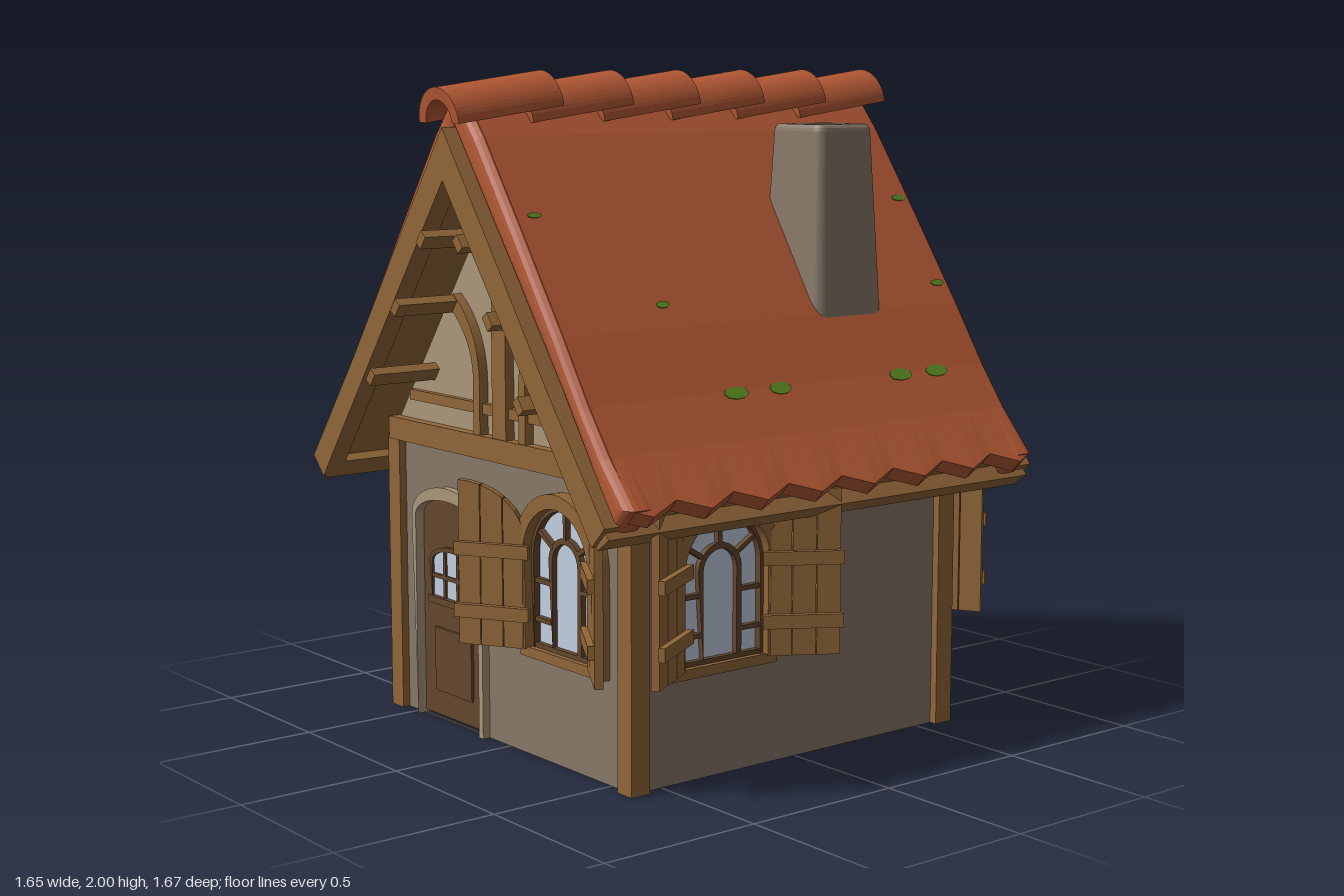
import * as THREE from 'three';

const material = (name, color) => Object.assign(new THREE.MeshStandardMaterial({ color }), { name });
const stone = material('greyStone', 0x877868);
const plaster = material('tanPlaster', 0xaa977a);
plaster.side = THREE.DoubleSide;
const wood = material('timber', 0x926739);
const dark = material('darkTimber', 0x64462d);
const glass = material('paleGlass', 0xc2d0e2);
const clay = material('redClay', 0xb25834);
const moss = material('moss', 0x5a8a22);

function add(parent, name, geometry, mat, x = 0, y = 0, z = 0) {
  const mesh = new THREE.Mesh(geometry, mat);
  mesh.name = name;
  mesh.position.set(x, y, z);
  parent.add(mesh);
  return mesh;
}
function group(parent, name) {
  const g = new THREE.Group();
  g.name = name;
  parent.add(g);
  return g;
}
const box = (w, h, d) => new THREE.BoxGeometry(w, h, d);
const extrude = (shape, depth, extra = {}) =>
  new THREE.ExtrudeGeometry(shape, { depth, bevelEnabled: false, curveSegments: 14, ...extra });
const polygon = pts => new THREE.Shape(pts.map(p => new THREE.Vector2(...p)));

// Opening with an elliptical top; Kind is Shape or Path (for holes)
function arch(cx, w, y0, ys, rise, Kind = THREE.Shape) {
  const s = new Kind();
  s.moveTo(cx - w, y0);
  s.lineTo(cx + w, y0);
  s.absellipse(cx, ys, w, rise, 0, Math.PI, false, 0);
  return s;
}
// Arched band, open at the bottom
function archBand(wo, ro, wi, ri, y0, ys) {
  const s = new THREE.Shape();
  s.moveTo(-wo, y0);
  s.absellipse(0, ys, wo, ro, Math.PI, 0, true, 0);
  s.lineTo(wo, y0);
  s.lineTo(wi, y0);
  s.absellipse(0, ys, wi, ri, 0, Math.PI, false, 0);
  s.lineTo(-wi, y0);
  return s;
}
// Closed chevron from right-hand outer and inner curves, apex first
function chevron(outer, inner) {
  const flip = pts => pts.slice(1).map(([x, y]) => [-x, y]);
  return polygon([...flip(outer).reverse(), ...outer, ...inner.slice(1).reverse(), inner[0], ...flip(inner)]);
}

// Plank shutter hinged at the window side; s is the side it swings to
function buildShutter(parent, s) {
  const shutter = group(parent, 'shutter');
  shutter.position.set(s * 0.155, 0, 0.615);
  shutter.rotation.y = -s * 0.55;
  const top = u => 0.62 + 0.2 * Math.sqrt(1 - (1 - u / 0.225) ** 2);
  for (let i = 0; i < 3; i++) {
    const a = 0.012 + i * 0.071, b = a + 0.068, m = (a + b) / 2;
    const pts = [[a, 0.332], [b, 0.332], [b, top(b)], [m, top(m)], [a, top(a)]].map(([u, v]) => [s * u, v]);
    add(shutter, 'shutterPlank', extrude(polygon(pts), 0.025), wood);
  }
  for (const y of [0.435, 0.62]) add(shutter, 'shutterBatten', box(0.235, 0.04, 0.02), wood, s * 0.112, y, 0.034);
}

function buildWindow(parent, x) {
  const win = group(parent, 'window');
  win.position.x = x;
  add(win, 'windowGlass', extrude(arch(0, 0.16, 0.335, 0.61, 0.16), 0.008), glass, 0, 0, 0.585);
  add(win, 'windowFrame', extrude(archBand(0.2, 0.2, 0.157, 0.157, 0.335, 0.61), 0.085), wood, 0, 0, 0.562);
  add(win, 'windowSill', box(0.4, 0.03, 0.062), wood, 0, 0.32, 0.596);
  // Glazing bars
  add(win, 'outerBar', extrude(archBand(0.16, 0.16, 0.146, 0.146, 0.335, 0.61), 0.03), dark, 0, 0, 0.585);
  add(win, 'innerArchBar', extrude(archBand(0.079, 0.079, 0.061, 0.061, 0.335, 0.6), 0.025), dark, 0, 0, 0.585);
  add(win, 'bottomBar', box(0.31, 0.014, 0.025), dark, 0, 0.342, 0.598);
  for (const s of [-1, 1]) for (const y of [0.42, 0.535]) {
    add(win, 'crossBar', box(0.09, 0.014, 0.025), dark, s * 0.112, y, 0.598);
  }
  for (const a of [0.55, Math.PI / 2, Math.PI - 0.55]) {
    add(win, 'rayBar', box(0.085, 0.014, 0.025), dark, Math.cos(a) * 0.112, 0.605 + Math.sin(a) * 0.112, 0.598).rotation.z = a;
  }
  for (const s of [-1, 1]) buildShutter(win, s);
}

function buildDoor(parent) {
  const door = group(parent, 'door');
  door.position.x = -0.3;
  add(door, 'doorFrame', extrude(archBand(0.192, 0.105, 0.17, 0.065, 0, 0.635), 0.08), plaster, 0, 0, 0.545);
  add(door, 'doorLeaf', extrude(arch(0, 0.17, 0.01, 0.635, 0.067), 0.035), dark, 0, 0, 0.56);
  add(door, 'doorPanel', box(0.2, 0.2, 0.012), dark, 0, 0.19, 0.598);
  // Panes on both faces, with the trim and bars running through
  for (const z of [0.552, 0.594]) add(door, 'doorGlass', extrude(arch(0, 0.105, 0.385, 0.5, 0.04), 0.008), glass, 0, 0, z);
  add(door, 'doorGlassTrim', extrude(archBand(0.117, 0.052, 0.103, 0.038, 0.38, 0.5), 0.064), dark, 0, 0, 0.546);
  add(door, 'doorGlassSill', box(0.234, 0.022, 0.07), dark, 0, 0.38, 0.583);
  add(door, 'doorGlassBar', box(0.21, 0.013, 0.062), dark, 0, 0.455, 0.578);
  for (const s of [-1, 1]) add(door, 'doorGlassBar', box(0.013, 0.145, 0.062), dark, s * 0.036, 0.46, 0.578);
}

// One hollow wall facing local +z: stone skin, plaster lining, arched openings
function buildWall(parent, winX, hasDoor) {
  const w = 0.595;
  const shape = polygon([[-w, 0], [w, 0], [w, 0.88], [-w, 0.88]]);
  shape.holes.push(arch(winX, 0.158, 0.335, 0.61, 0.158, THREE.Path));
  if (hasDoor) shape.holes.push(arch(-0.3, 0.175, 0.004, 0.635, 0.08, THREE.Path));
  const sheet = new THREE.ShapeGeometry(shape, 14);
  add(parent, 'outerWall', sheet, stone, 0, 0, 0.6);
  add(parent, 'outerWallBack', sheet, plaster, 0, 0, 0.596);
  add(parent, 'innerWall', sheet, plaster, 0, 0, 0.56);
}

// Timbered gable facing local +z
function buildGable(parent) {
  const gable = group(parent, 'gable');
  add(gable, 'gableInfill', extrude(polygon([[-0.63, 0.87], [0.63, 0.87], [0, 1.73]]), 0.04), plaster, 0, 0, 0.56);
  add(gable, 'tieBeam', box(1.2, 0.07, 0.07), wood, 0, 0.895, 0.6);
  add(gable, 'upperRail', box(1.0, 0.032, 0.03), wood, 0, 1.008, 0.605);
  add(gable, 'kingPost', box(0.07, 0.78, 0.05), wood, 0, 1.3, 0.605);
  for (const s of [-1, 1]) {
    const brace = new THREE.Shape();
    brace.moveTo(s * 0.1, 0.92);
    brace.lineTo(s * 0.1, 1.1);
    brace.quadraticCurveTo(s * 0.11, 1.25, s * 0.235, 1.34);
    brace.lineTo(s * 0.265, 1.305);
    brace.quadraticCurveTo(s * 0.14, 1.22, s * 0.133, 1.1);
    brace.lineTo(s * 0.133, 0.92);
    add(gable, 'curvedBrace', extrude(brace, 0.04), wood, 0, 0, 0.59);
    for (const [x, y] of [[0.095, 1.517], [0.24, 1.31], [0.385, 1.09]]) {
      add(gable, 'purlinPeg', box(0.045, 0.03, 0.24), wood, s * x, y, 0.71).rotation.z = -s * 0.93;
    }
  }
  add(gable, 'bargeBoard', extrude(chevron(
    [[0, 1.84], [0.3, 1.425], [0.5, 1.145], [0.757, 0.805]],
    [[0, 1.69], [0.3, 1.285], [0.5, 1.015], [0.7, 0.745]]), 0.06), wood, 0, 0, 0.755);
}

const roofLine = [[0, 1.935], [0.05, 1.9], [0.12, 1.815], [0.3, 1.56], [0.49, 1.285], [0.608, 1.105], [0.7, 0.98], [0.817, 0.84]];

function buildRoof(parent) {
  const roof = group(parent, 'roof');
  // Thin tile sheet; eaves pulled into a zigzag
  const tiles = extrude(chevron(roofLine,
    [[0, 1.85], [0.3, 1.475], [0.49, 1.205], [0.6, 1.035], [0.69, 0.915], [0.785, 0.805]]), 1.5, { steps: 30 });
  tiles.translate(0, 0, -0.75);
  const p = tiles.attributes.position;
  for (let i = 0; i < p.count; i++) {
    const x = p.getX(i), y = p.getY(i), z = p.getZ(i);
    if (Math.abs(x) < 0.72 || y > 0.9) continue;
    const t = Math.abs(((z + 1.1) / 0.2) % 1 - 0.5) * 2; // 1 at tooth tips
    const d = (t - 0.8) * 0.03;
    p.setXY(i, x + Math.sign(x) * d, y - d);
  }
  tiles.computeVertexNormals();
  add(roof, 'roofTiles', tiles, clay);
  // Thick rounded tile verge at each gable end
  for (const s of [-1, 1]) {
    const verge = extrude(chevron([...roofLine.slice(0, -1), [0.812, 0.852]], [[0, 1.82], [0.3, 1.41], [0.5, 1.135], [0.742, 0.78]]), 0.03,
      { bevelEnabled: true, bevelThickness: 0.035, bevelSize: 0.035, bevelOffset: -0.035, bevelSegments: 4 });
    add(roof, 'tileVerge', verge, clay, 0, 0, s * 0.725 - 0.015);
  }
  add(roof, 'roofBoarding', extrude(chevron(
    [[0, 1.86], [0.3, 1.485], [0.5, 1.2], [0.755, 0.845]],
    [[0, 1.77], [0.3, 1.36], [0.5, 1.085], [0.71, 0.785]]), 1.5), wood, 0, 0, -0.75);
  for (const s of [-1, 1]) {
    add(roof, 'eaveBeam', box(0.065, 0.06, 1.6), wood, s * 0.713, 0.781, 0).rotation.z = -s * 0.94;
  }
  // Overlapping half-round ridge caps
  const ring = new THREE.Shape();
  ring.absarc(0, 0, 0.102, 0, Math.PI, false);
  ring.absarc(0, 0, 0.066, Math.PI, 0, true);
  for (let i = 0; i < 6; i++) {
    const cap = extrude(ring, 0.365);
    cap.translate(0, 0, -0.1825);
    add(roof, 'ridgeCap', cap, clay, 0, 1.875, 0.642 - i * 0.254).rotation.x = 0.13;
  }
  // Moss patches: height, z, half length, half width
  const patches = [[1.1, 0.24, 0.045, 0.02], [1.1, 0.075, 0.04, 0.02], [1.1, -0.4, 0.045, 0.02], [1.1, -0.55, 0.045, 0.02],
    [1.345, 0.375, 0.024, 0.011], [1.345, -0.71, 0.027, 0.011], [1.6, 0.69, 0.024, 0.009], [1.6, -0.71, 0.03, 0.011]];
  for (const s of [-1, 1]) for (const [y, z, r, w] of patches) {
    const i = roofLine.findIndex(q => q[1] < y);
    const [[x0, y0], [x1, y1]] = [roofLine[i - 1], roofLine[i]];
    const x = x0 + (x1 - x0) * (y - y0) / (y1 - y0);
    const patch = add(roof, 'mossPatch', new THREE.CylinderGeometry(1, 1, 0.006, 9), moss, s * x, y, z);
    patch.scale.set(w, 1, r);
    patch.rotation.z = -s * Math.atan2(y0 - y1, x1 - x0);
  }
}

// Tapered, rounded chimney with an open flue
function buildChimney(parent) {
  const rounded = (Kind, h, r) => {
    const s = new Kind();
    [[1, 1], [-1, 1], [-1, -1], [1, -1]].forEach(([a, b], i) =>
      s.absarc(a * (h - r), b * (h - r), r, i * Math.PI / 2, (i + 1) * Math.PI / 2, false));
    return s;
  };
  const shape = rounded(THREE.Shape, 0.14, 0.04);
  shape.holes.push(rounded(THREE.Path, 0.086, 0.028));
  const g = extrude(shape, 0.6, { curveSegments: 4, bevelEnabled: true, bevelThickness: 0.02, bevelSize: 0.018, bevelOffset: -0.018, bevelSegments: 3 });
  g.rotateX(-Math.PI / 2);
  const p = g.attributes.position;
  for (let i = 0; i < p.count; i++) {
    const k = 1 - 0.22 * p.getY(i) / 0.62;
    p.setXYZ(i, p.getX(i) * k, p.getY(i), p.getZ(i) * k);
  }
  g.computeVertexNormals();
  add(parent, 'chimney', g, stone, 0.36, 1.22, -0.305);
  add(parent, 'flueBase', box(0.18, 0.02, 0.18), stone, 0.36, 1.73, -0.305);
}

export function createModel() {
  const house = new THREE.Group();
  house.name = 'cottage';
  // Four sides, front first
  ['front', 'rightHand', 'back', 'leftHand'].forEach((name, i) => {
    const side = group(house, name + 'Side');
    side.rotation.y = i * Math.PI / 2;
    const winX = i === 0 ? 0.295 : -0.295;
    buildWall(side, winX, i === 0);
    buildWindow(side, winX);
    if (i === 0) buildDoor(side);
    if (i % 2 === 0) buildGable(side);
  });
  // Corner posts and wall plates
  for (const sx of [-1, 1]) {
    for (const sz of [-1, 1]) add(house, 'cornerPost', box(0.064, 0.87, 0.064), wood, sx * 0.592, 0.435, sz * 0.592);
    add(house, 'wallPlate', box(0.06, 0.06, 1.24), wood, sx * 0.595, 0.85, 0);
  }
  buildRoof(house);
  buildChimney(house);
  return house;
}
